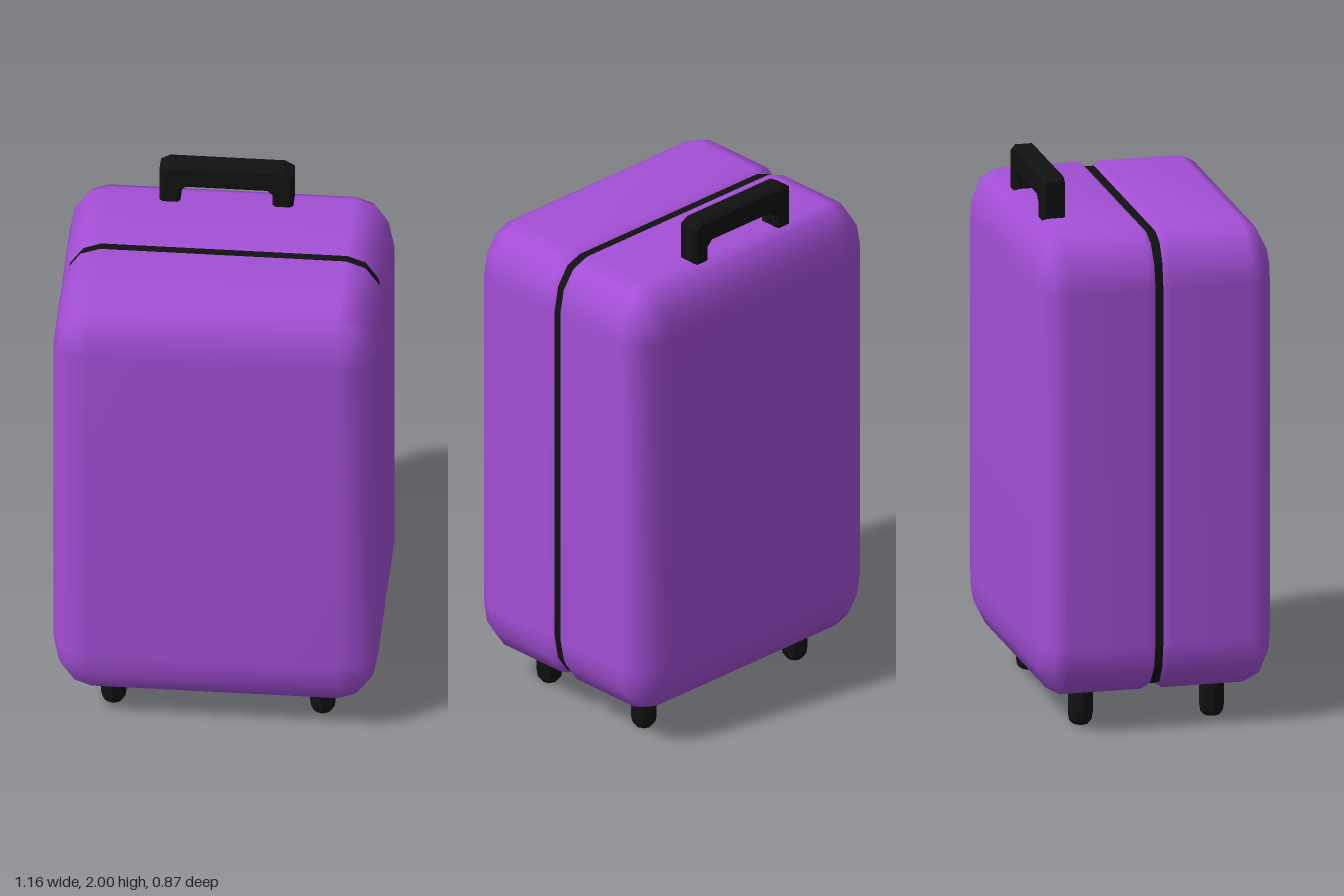
import * as THREE from 'three';
import { mergeVertices } from 'three/addons/utils/BufferGeometryUtils.js';

const purple = new THREE.MeshStandardMaterial({ color: 0xa34fd6 });
const black = new THREE.MeshStandardMaterial({ color: 0x111111 });
const blackFlat = new THREE.MeshStandardMaterial({ color: 0x111111, flatShading: true });

const HALF_W = 0.582, HALF_H = 0.857, MID_Y = 0.988; // body size
const RX = 0.14, RY = 0.2, RZ = 0.1;                 // corner radii
const STEPS = 3;                                     // segments per corner

// Rounded-rectangle outline, counter-clockwise, pulled in by (ix, iy)
function outline(ix, iy) {
  const points = [];
  for (let q = 0; q < 4; q++) {
    const sx = q === 0 || q === 3 ? 1 : -1, sy = q < 2 ? 1 : -1;
    for (let s = 0; s <= STEPS; s++) {
      const a = (q + s / STEPS) * Math.PI / 2;
      points.push(new THREE.Vector2(
        sx * (HALF_W - RX) + (RX - ix) * Math.cos(a),
        sy * (HALF_H - RY) + (RY - iy) * Math.sin(a)));
    }
  }
  return points;
}

// Half of the body: outlines stacked from the seam to the outer face
function shellGeometry() {
  const sections = [[0.008, 0.015, 0.025], [0.04, 0, 0]];
  for (let s = 0; s <= STEPS; s++) {
    const a = s / STEPS * Math.PI / 2, k = 1 - Math.cos(a);
    sections.push([0.335 + RZ * Math.sin(a), RX * k, RY * k]);
  }
  const position = [], index = [], n = 4 * (STEPS + 1);
  for (const [z, ix, iy] of sections)
    for (const p of outline(ix, iy)) position.push(p.x, p.y, z);
  for (let i = 0; i < sections.length - 1; i++)
    for (let j = 0; j < n; j++) {
      const a = i * n + j, b = i * n + (j + 1) % n;
      index.push(a, b, b + n, a, b + n, a + n);
    }
  // outer face
  const last = (sections.length - 1) * n, centre = position.length / 3;
  position.push(0, 0, 0.435);
  for (let j = 0; j < n; j++) index.push(last + j, last + (j + 1) % n, centre);

  let g = new THREE.BufferGeometry();
  g.setAttribute('position', new THREE.Float32BufferAttribute(position, 3));
  g.setIndex(index);
  g = mergeVertices(g, 1e-4);
  g.computeVertexNormals();
  return g;
}

export function createModel() {
  const model = new THREE.Group();
  model.name = 'suitcase';
  const add = (name, geometry, material, x = 0, y = 0, z = 0) => {
    const mesh = new THREE.Mesh(geometry, material);
    mesh.name = name;
    mesh.position.set(x, y, z);
    model.add(mesh);
    return mesh;
  };

  // Two matching shells
  const shell = shellGeometry();
  add('frontShell', shell, purple, 0, MID_Y);
  add('backShell', shell, purple, 0, MID_Y).rotation.y = Math.PI;

  // Dark zip band in the groove between the shells
  const band = new THREE.ExtrudeGeometry(new THREE.Shape(outline(0.012, 0.018)),
    { depth: 0.034, bevelEnabled: false });
  add('zipBand', band, black, 0, MID_Y, -0.017);

  // Arched carry handle with chamfered edges
  const b = 0.012;
  const arch = [[-0.24, 1.82], [-0.165, 1.82], [-0.165, 1.88], [-0.14, 1.905], [0.14, 1.905],
    [0.165, 1.88], [0.165, 1.82], [0.24, 1.82], [0.24, 1.985], [0.215, 2], [-0.215, 2], [-0.24, 1.985]];
  const inset = arch.map(([x, y]) => new THREE.Vector2(
    x + (Math.abs(x) > 0.2 ? -b : b) * Math.sign(x),
    y > 1.95 ? y - b : y > 1.85 ? y + b : y));
  const handle = new THREE.ExtrudeGeometry(new THREE.Shape(inset),
    { depth: 0.085 - 2 * b, bevelThickness: b, bevelSize: b, bevelSegments: 1 });
  add('handle', handle, blackFlat, -0.015, 0, -0.35 + b);

  // Four stubby feet
  const foot = new THREE.LatheGeometry([[0, 0], [0.028, 0], [0.042, 0.015], [0.046, 0.04], [0.046, 0.18]]
    .map(([x, y]) => new THREE.Vector2(x, y)), 8);
  for (const x of [-0.375, 0.375])
    for (const z of [-0.242, 0.242])
      add(`${z > 0 ? 'front' : 'back'}${x > 0 ? 'Left' : 'Right'}Foot`, foot, blackFlat, x, 0, z);

  return model;
}
